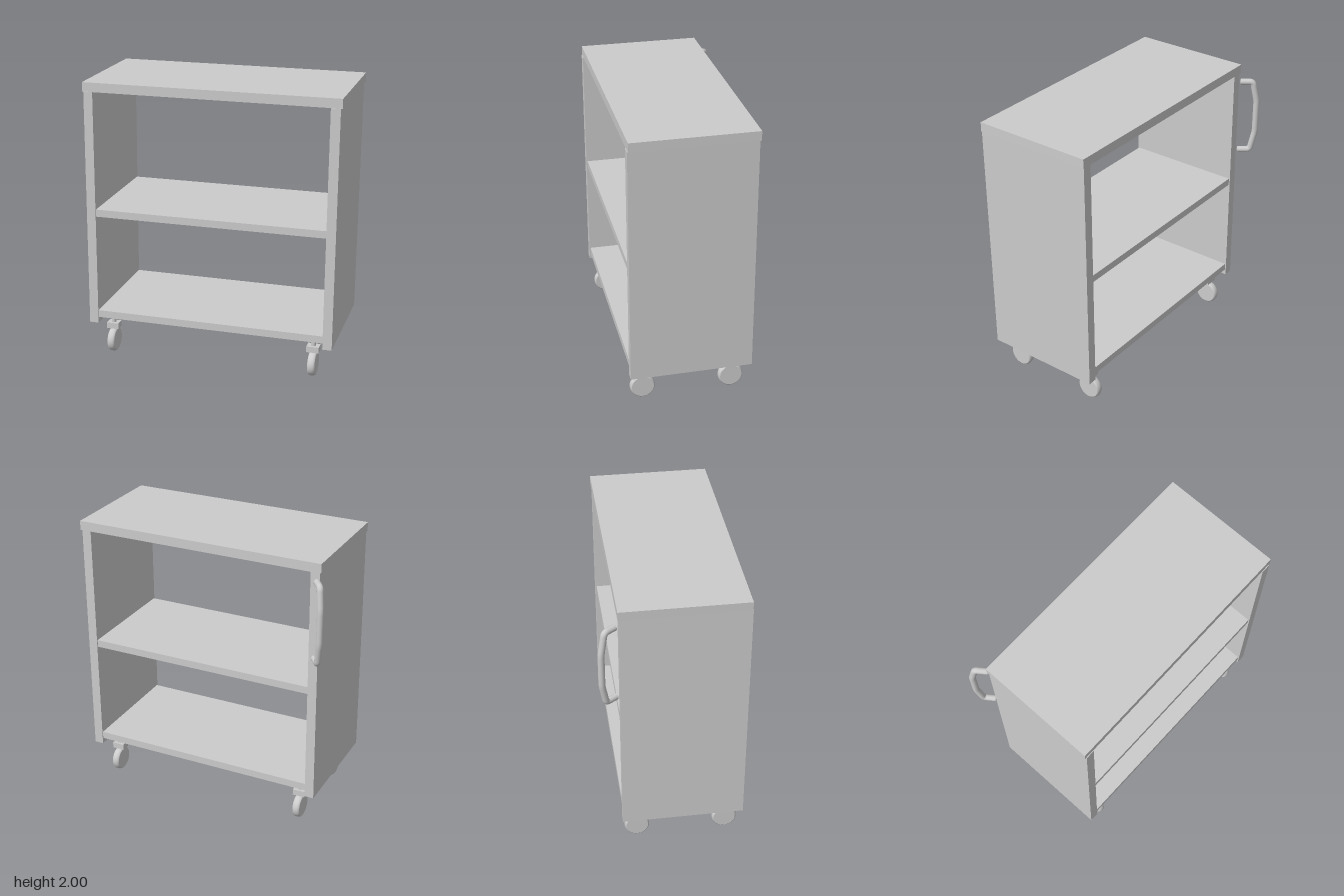
import * as THREE from 'three';

const material = new THREE.MeshStandardMaterial({ color: 0xcccccc });

function addMesh(parent, name, geometry, x = 0, y = 0, z = 0) {
  const mesh = new THREE.Mesh(geometry, material);
  mesh.name = name;
  mesh.position.set(x, y, z);
  parent.add(mesh);
  return mesh;
}

// Board given by its front outline [x, y] (counter-clockwise) and its z range
function addBoard(parent, name, outline, zBack, zFront) {
  const shape = new THREE.Shape(outline.map(([x, y]) => new THREE.Vector2(x, y)));
  const geometry = new THREE.ExtrudeGeometry(shape, { depth: zFront - zBack, bevelEnabled: false });
  return addMesh(parent, name, geometry, 0, 0, zBack);
}

// Caster: stem, mounting block and a wheel with rounded tread
function createCaster(x, z) {
  const caster = new THREE.Group();
  caster.name = 'caster';
  caster.position.set(x, 0, z);
  addMesh(caster, 'casterStem', new THREE.CylinderGeometry(0.017, 0.017, 0.05, 20), 0, 0.238, 0);
  addMesh(caster, 'casterBlock', new THREE.BoxGeometry(0.088, 0.043, 0.066), 0, 0.204, 0);

  const tread = [[0.077, -0.026], [0.083, -0.022], [0.087, -0.012], [0.088, 0],
    [0.087, 0.012], [0.083, 0.022], [0.077, 0.026]].map(([r, h]) => new THREE.Vector2(r, h));
  const wheel = new THREE.Group();
  wheel.name = 'wheel';
  wheel.position.y = 0.092;
  wheel.rotation.z = Math.PI / 2;
  addMesh(wheel, 'wheelTread', new THREE.LatheGeometry(tread, 40));
  addMesh(wheel, 'wheelHub', new THREE.CylinderGeometry(0.077, 0.077, 0.052, 40));
  caster.add(wheel);
  return caster;
}

// Bowed pull handle standing out diagonally from the rear corner
function createHandle() {
  const handle = new THREE.Group();
  handle.name = 'handle';
  const radius = 0.022;
  const at = (out, y) => new THREE.Vector3(-0.838 - 0.59 * out, y, -0.378 - 0.81 * out);
  const points = [at(0, 1.88), at(0.085, 1.88), at(0.117, 1.73), at(0.117, 1.49), at(0.085, 1.342), at(0, 1.342)];

  // Straight runs joined by short bends
  const path = new THREE.CurvePath();
  let start = points[0];
  for (let i = 1; i < points.length - 1; i++) {
    const p = points[i];
    const toward = (q) => p.clone().add(q.clone().sub(p).setLength(0.025));
    const bendStart = toward(points[i - 1]);
    const bendEnd = toward(points[i + 1]);
    path.add(new THREE.LineCurve3(start, bendStart));
    path.add(new THREE.QuadraticBezierCurve3(bendStart, p, bendEnd));
    start = bendEnd;
  }
  path.add(new THREE.LineCurve3(start, points[5]));
  addMesh(handle, 'handleBar', new THREE.TubeGeometry(path, 120, radius, 16, false));

  // Softly domed ends
  for (const end of [points[0], points[5]]) {
    const cap = addMesh(handle, 'handleEnd', new THREE.SphereGeometry(radius, 16, 12), end.x, end.y, end.z);
    cap.rotation.y = Math.atan2(0.59, 0.81);
    cap.scale.z = 0.3;
  }
  return handle;
}

export function createModel() {
  const cart = new THREE.Group();
  cart.name = 'shelfCart';

  // Top board
  addBoard(cart, 'topBoard', [[-0.858, 1.935], [0.925, 1.935], [0.925, 2], [-0.858, 2]], -0.36, 0.486);

  // Side panels, leaning very slightly to +x
  addBoard(cart, 'rightPanel', [[-0.861, 0.25], [-0.796, 0.25], [-0.784, 1.936], [-0.848, 1.936]], -0.354, 0.491);
  addBoard(cart, 'leftPanel', [[0.836, 0.25], [0.901, 0.25], [0.914, 1.936], [0.848, 1.936]], -0.354, 0.491);

  // Shelves
  addBoard(cart, 'middleShelf', [[-0.79, 1.05], [0.842, 1.05], [0.842, 1.102], [-0.79, 1.102]], -0.346, 0.483);
  addBoard(cart, 'bottomShelf', [[-0.796, 0.292], [0.837, 0.292], [0.837, 0.344], [-0.796, 0.344]], -0.346, 0.483);

  // Casters at the four corners
  for (const x of [-0.719, 0.753]) {
    for (const z of [-0.242, 0.385]) cart.add(createCaster(x, z));
  }

  cart.add(createHandle());
  return cart;
}
